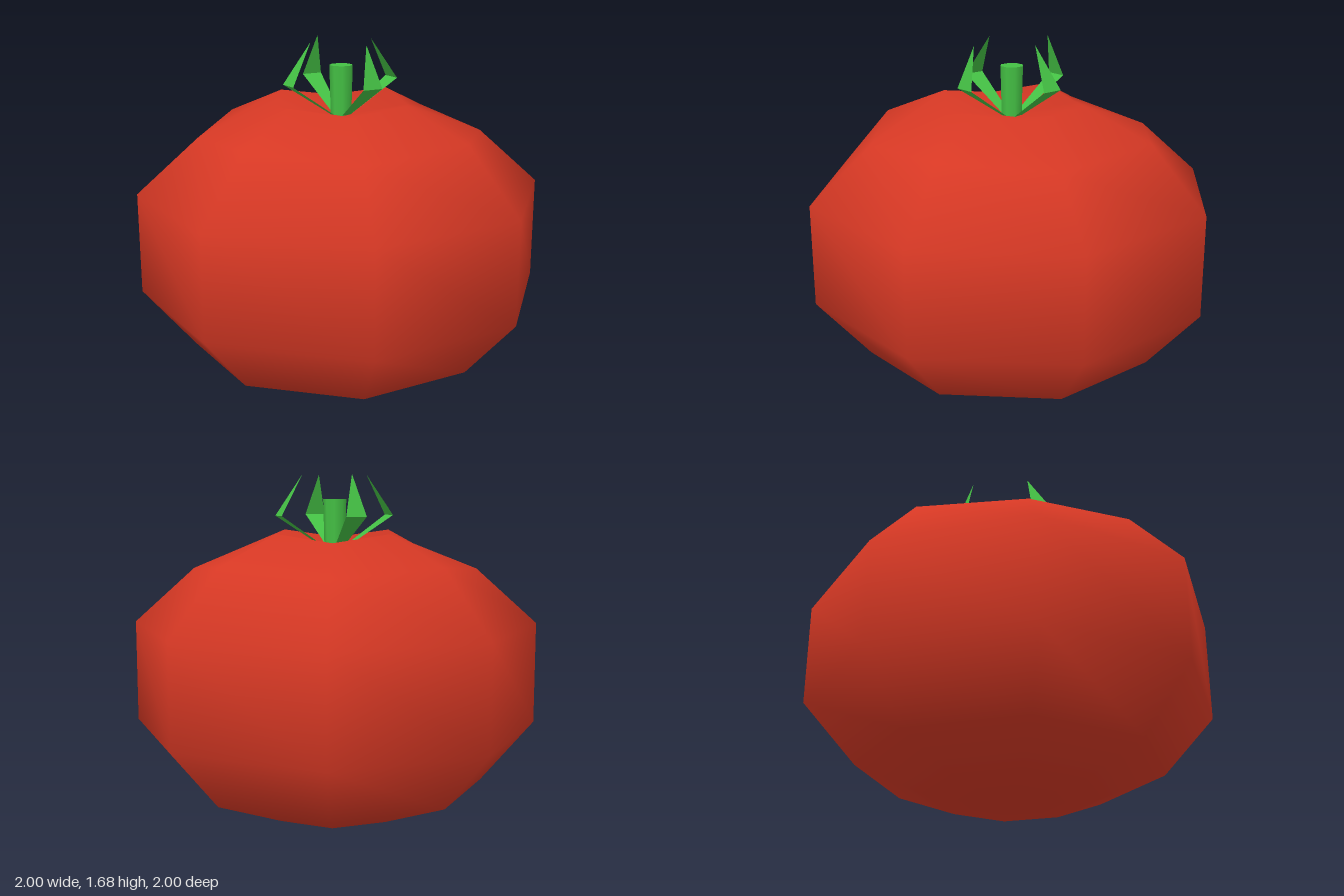
import * as THREE from 'three';
import { mergeVertices } from 'three/addons/utils/BufferGeometryUtils.js';

const red = new THREE.MeshStandardMaterial({ color: 0xd63824 });
red.name = 'tomato red';
const green = new THREE.MeshStandardMaterial({ color: 0x44c044, side: THREE.DoubleSide });
green.name = 'leaf green';

// Squat eight-sided fruit with a dimpled top, its shoulders dipping on the diagonals
function fruitGeometry() {
  const profile = [[0, 0], [0.36, 0], [0.74, 0.15], [1, 0.45], [1, 0.95], [0.72, 1.26], [0.38, 1.4], [0, 1.31]];
  const dips = { 5: [0.7, 1.22], 6: [0.325, 1.36] };
  const sides = 8;
  const lathe = new THREE.LatheGeometry(profile.map(([r, y]) => new THREE.Vector2(r, y)), sides);
  const position = lathe.attributes.position;
  for (let side = 1; side < sides; side += 2) {
    const angle = (side / sides) * Math.PI * 2;
    for (const [ring, [r, y]] of Object.entries(dips)) {
      position.setXYZ(side * profile.length + Number(ring), r * Math.sin(angle), y, r * Math.cos(angle));
    }
  }
  // Weld the seam and poles so the shading is smooth all round
  lathe.deleteAttribute('normal');
  lathe.deleteAttribute('uv');
  const welded = mergeVertices(lathe, 1e-4);
  welded.computeVertexNormals();
  return welded;
}

// Sepal pointing along +x: a widening strip, then a point bent up and inward
function sepalGeometry(tipRadius) {
  const geometry = new THREE.BufferGeometry();
  geometry.setAttribute('position', new THREE.Float32BufferAttribute([
    0.04, 1.315, 0.02,
    0.04, 1.315, -0.02,
    0.29, 1.48, 0.052,
    0.29, 1.48, -0.052,
    tipRadius, 1.68, 0,
  ], 3));
  geometry.setIndex([0, 2, 1, 1, 2, 3, 2, 4, 3]);
  const flat = geometry.toNonIndexed();
  flat.computeVertexNormals();
  return flat;
}

export function createModel() {
  const model = new THREE.Group();
  model.name = 'tomato';

  const fruit = new THREE.Mesh(fruitGeometry(), red);
  fruit.name = 'fruit';
  model.add(fruit);

  const stem = new THREE.Mesh(new THREE.CylinderGeometry(0.057, 0.05, 0.28, 8), green);
  stem.name = 'stem';
  stem.position.y = 1.42;
  model.add(stem);

  // Four sepals in two opposite pairs
  const sepals = new THREE.Group();
  sepals.name = 'sepals';
  for (let i = 0; i < 4; i++) {
    const sepal = new THREE.Mesh(sepalGeometry(i % 2 ? 0.23 : 0.167), green);
    sepal.name = 'sepal';
    sepal.rotation.y = -Math.PI / 8 + (i * Math.PI) / 2;
    sepals.add(sepal);
  }
  model.add(sepals);
  return model;
}
